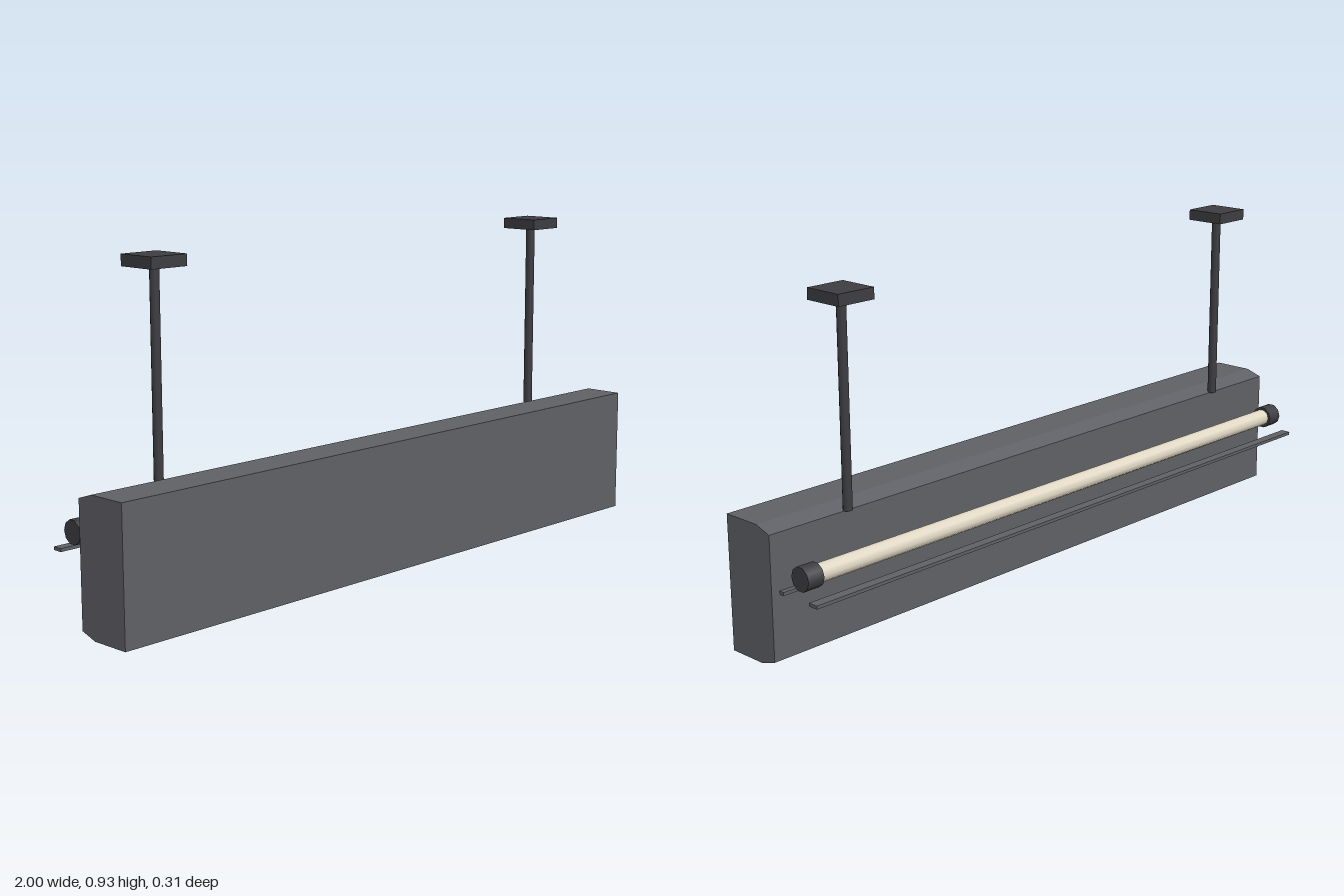
import * as THREE from 'three';

export function createModel() {
  const group = new THREE.Group();
  group.name = 'hangingLightSign';

  const mat = (name, color) => {
    const m = new THREE.MeshStandardMaterial({ color });
    m.name = name;
    return m;
  };
  const grey = mat('housingGrey', 0x5f6065);
  const dark = mat('darkMetal', 0x3d3c41);
  const cream = mat('lampCream', 0xe0d7c3);

  const add = (name, geometry, material, x, y, z) => {
    const mesh = new THREE.Mesh(geometry, material);
    mesh.name = name;
    mesh.position.set(x, y, z);
    group.add(mesh);
    return mesh;
  };

  // Housing: side profile (z, y) with chamfered rear edges, extruded along x
  const profile = new THREE.Shape([
    [0.153, 0], [0.153, 0.368], [0.037, 0.368],
    [-0.012, 0.352], [-0.012, 0.016], [0.037, 0],
  ].map(([z, y]) => new THREE.Vector2(z, y)));
  const housing = new THREE.ExtrudeGeometry(profile, { depth: 2, bevelEnabled: false });
  housing.translate(0, 0, -1).rotateY(-Math.PI / 2);
  add('housing', housing, grey, 0, 0, 0);

  // Lamp tube lying along x behind the housing
  const lampY = 0.247, lampZ = -0.084;
  const along = (radius, length, sides) =>
    new THREE.CylinderGeometry(radius, radius, length, sides).rotateZ(Math.PI / 2);
  add('lampTube', along(0.025, 1.86, 10), cream, 0, lampY, lampZ);

  // Mirrored end caps, hanger rods and ceiling plates
  for (const [side, s] of [['left', 1], ['right', -1]]) {
    add(side + 'LampCap', along(0.033, 0.05, 10), dark, s * 0.943, lampY, lampZ);
    add(side + 'HangerRod', new THREE.CylinderGeometry(0.013, 0.013, 0.546, 10), dark,
      s * 0.748, 0.625, -0.012);
    add(side + 'CeilingPlate', new THREE.BoxGeometry(0.115, 0.031, 0.116), dark,
      s * 0.748, 0.911, -0.012);
  }

  // Two thin rails under the lamp
  add('innerRail', new THREE.BoxGeometry(1.95, 0.009, 0.029), grey, 0, 0.195, -0.0125);
  add('outerRail', new THREE.BoxGeometry(1.95, 0.009, 0.029), grey, 0, 0.195, -0.138);

  return group;
}
